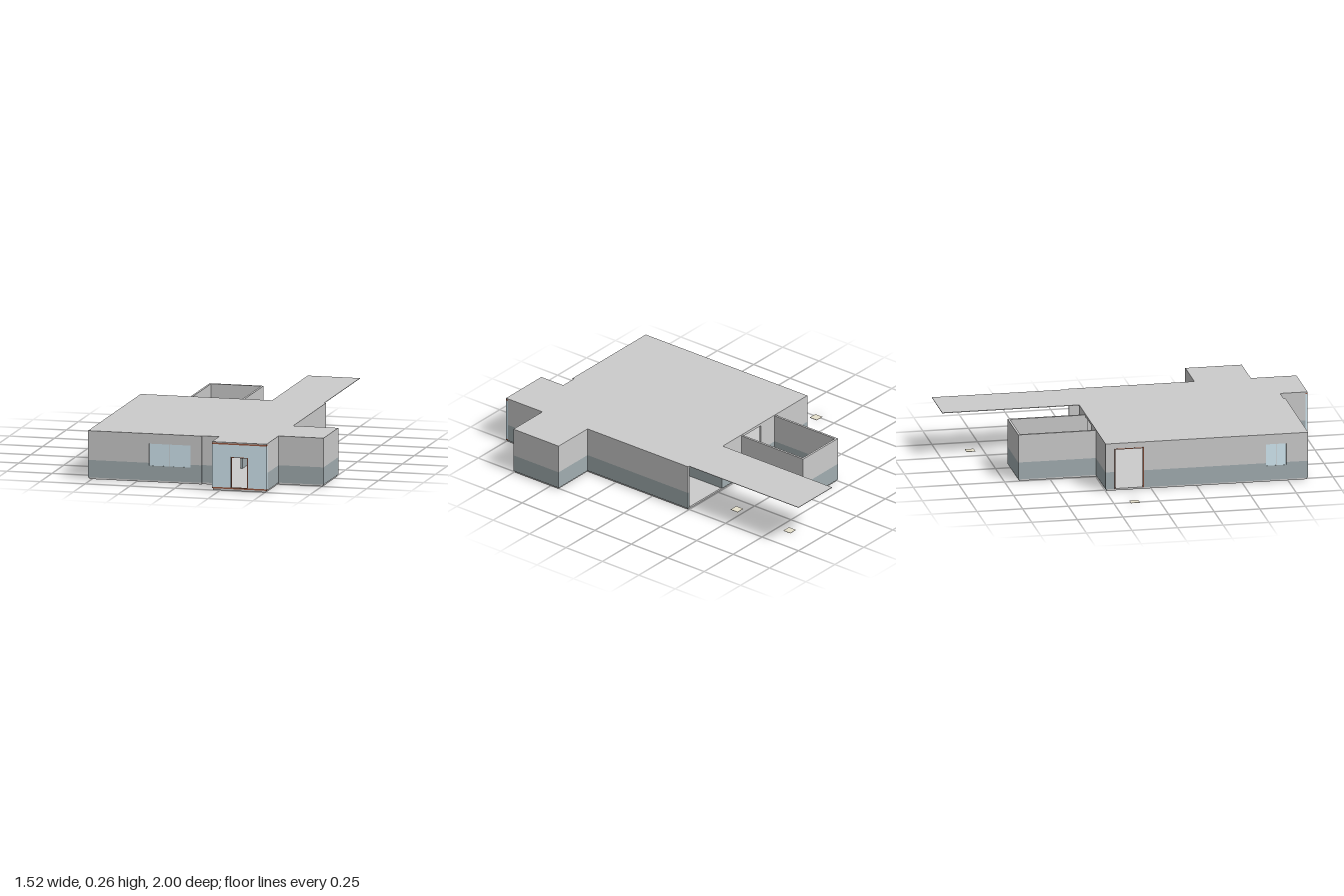
import * as THREE from 'three';

const grey = new THREE.MeshStandardMaterial({ color: 0xcccccc });
const paint = (color) => new THREE.MeshStandardMaterial({ color });
const dado = paint(0xa1adb0), glass = paint(0xd2e8f2), brown = paint(0x9a5a42), beige = paint(0xe6e0cc);

const T = 0.012;                                  // wall thickness
const FLOOR = 0.01, BAND = 0.105, TOP = 0.26, ROOF = 0.265;

export function createModel() {
  const model = new THREE.Group();

  // Box given by its limits on each axis
  function block(name, x0, x1, y0, y1, z0, z1, material = grey, parent = model) {
    const mesh = new THREE.Mesh(new THREE.BoxGeometry(x1 - x0, y1 - y0, z1 - z0), material);
    mesh.position.set((x0 + x1) / 2, (y0 + y1) / 2, (z0 + z1) / 2);
    mesh.name = name;
    parent.add(mesh);
    return mesh;
  }

  // Horizontal slab extruded from an x-z outline
  function slab(name, outline, y0, y1) {
    const shape = new THREE.Shape(outline.map(([x, z]) => new THREE.Vector2(x, -z)));
    const geometry = new THREE.ExtrudeGeometry(shape, { depth: y1 - y0, bevelEnabled: false });
    geometry.rotateX(-Math.PI / 2);
    const mesh = new THREE.Mesh(geometry, grey);
    mesh.position.y = y0;
    mesh.name = name;
    model.add(mesh);
  }

  // Two-tone wall along x or z; at = its lower side, openings = [from, to, bottom, top]
  function wall(name, axis, at, from, to, openings = []) {
    const group = new THREE.Group();
    group.name = name;
    const piece = (a, b, y0, y1) => {
      for (const [lo, hi, material, label] of [[FLOOR, BAND, dado, 'lowerBand'], [BAND, TOP, grey, 'upperBand']]) {
        const s = Math.max(y0, lo), e = Math.min(y1, hi);
        if (e - s < 1e-4 || b - a < 1e-4) continue;
        if (axis === 'x') block(label, a, b, s, e, at, at + T, material, group);
        else block(label, at, at + T, s, e, a, b, material, group);
      }
    };
    let start = from;
    for (const [a, b, y0, y1] of openings) {
      piece(start, a, FLOOR, TOP);
      piece(a, b, FLOOR, y0);
      piece(a, b, y1, TOP);
      start = b;
    }
    piece(start, to, FLOOR, TOP);
    model.add(group);
  }

  // Floor and roof over the main hall, side wing and entrance
  const plan = (d) => [
    [-0.52 + d, -0.25 + d], [0.51 - d, -0.25 + d], [0.51 - d, 0.44 + d], [0.76 - d, 0.44 + d],
    [0.76 - d, 0.75 - d], [0.51 - d, 0.75 - d], [0.51 - d, 1 - d], [0.205 + d, 1 - d],
    [0.205 + d, 0.85 - d], [0.11, 0.85 - d], [0.11, 0.86 - d], [-0.52 + d, 0.86 - d],
  ];
  slab('floor', plan(0.006), 0, FLOOR);
  slab('roof', plan(0), TOP, ROOF);
  block('canopy', 0.21, 0.5, 0.262, ROOF, -1, -0.25);

  // Main hall walls
  wall('frontWall', 'x', 0.86 - T, -0.52, 0.11, [[-0.18, 0.05, 0.09, 0.21]]);
  wall('frontWallRecess', 'x', 0.85 - T, 0.11, 0.205 + T);
  wall('rightSideWall', 'z', -0.52, -0.25 + T, 0.86 - T,
    [[-0.2, -0.04, FLOOR, 0.235], [0.63, 0.74, 0.09, 0.21]]);
  wall('backWall', 'x', -0.25, -0.52, 0.51,
    [[-0.12, 0.038, FLOOR, 0.25], [0.215, 0.498, FLOOR, 0.255]]);
  wall('leftSideWall', 'z', 0.51 - T, -0.25 + T, 0.44 + T);
  wall('corridorWall', 'z', 0.205, -0.25 + T, 0.4);

  // Side wing walls
  wall('wingBackWall', 'x', 0.44, 0.51, 0.76);
  wall('wingEndWall', 'z', 0.76 - T, 0.44 + T, 0.75 - T);
  wall('wingFrontWall', 'x', 0.75 - T, 0.51 - T, 0.76);

  // Entrance with glazed front and open doorway
  wall('entranceLeftWall', 'z', 0.51 - T, 0.75, 0.988);
  wall('entranceRightWall', 'z', 0.205, 0.85, 0.988);
  const entrance = new THREE.Group();
  entrance.name = 'entranceFront';
  model.add(entrance);
  block('glassLeft', 0.405, 0.51, 0.018, 0.252, 0.988, 1, glass, entrance);
  block('glassRight', 0.205, 0.31, 0.018, 0.252, 0.988, 1, glass, entrance);
  block('glassOverDoor', 0.31, 0.405, 0.185, 0.252, 0.988, 1, glass, entrance);
  block('sill', 0.205, 0.51, FLOOR, 0.018, 0.988, 1, brown, entrance);
  block('headRail', 0.205, 0.51, 0.252, TOP, 0.988, 1, brown, entrance);
  for (const x of [0.31, 0.401]) block('doorJamb', x, x + 0.004, 0.018, 0.185, 0.986, 0.999, brown, entrance);
  block('doorHead', 0.31, 0.405, 0.181, 0.185, 0.986, 0.999, brown, entrance);

  // Two-pane windows
  for (const x of [-0.18, -0.064]) block('frontWindowPane', x, x + 0.114, 0.09, 0.21, 0.851, 0.859, glass);
  block('frontWindowMullion', -0.066, -0.064, 0.09, 0.21, 0.85, 0.86);
  for (const z of [0.63, 0.686]) block('sideWindowPane', -0.519, -0.511, 0.09, 0.21, z, z + 0.054, glass);
  block('sideWindowMullion', -0.52, -0.51, 0.09, 0.21, 0.684, 0.686);

  // Side door frame
  for (const z of [-0.2, -0.045]) block('sideDoorJamb', -0.521, -0.507, FLOOR, 0.235, z, z + 0.005, brown);
  block('sideDoorHead', -0.521, -0.507, 0.23, 0.235, -0.2, -0.04, brown);

  // Roofless stair room at the back
  wall('stairRoomRightWall', 'z', -0.25, -0.675, -0.25);
  wall('stairRoomLeftWall', 'z', 0.05 - T, -0.675, -0.25);
  wall('stairRoomBackWall', 'x', -0.675, -0.25 + T, 0.05 - T);
  block('stairRoomLanding', -0.244, 0.044, 0, FLOOR, -0.38, -0.244);
  block('stairRoomFloor', -0.244, 0.044, 0, 0.004, -0.669, -0.38);
  block('stairRoomPlinthBack', -0.244, 0.044, 0, FLOOR, -0.669, -0.663);
  for (const x of [-0.244, 0.038]) block('stairRoomPlinthSide', x, x + 0.006, 0, FLOOR, -0.663, -0.38);
  const steps = 11, going = 0.25 / steps;
  for (let i = 0; i < steps; i++) {
    const z = -0.63 + i * going;
    block('stairTread', -0.1, 0.038, 0.004, 0.0045 + 0.005 * (i + 1) / steps, z, z + going);
  }

  // Paving pads outside the doors
  for (const [x, z] of [[-0.74, -0.135], [0.35, -0.82], [0.34, -0.45]]) {
    block('pavingPad', x - 0.024, x + 0.024, 0, 0.002, z - 0.024, z + 0.024, beige);
  }
  return model;
}
